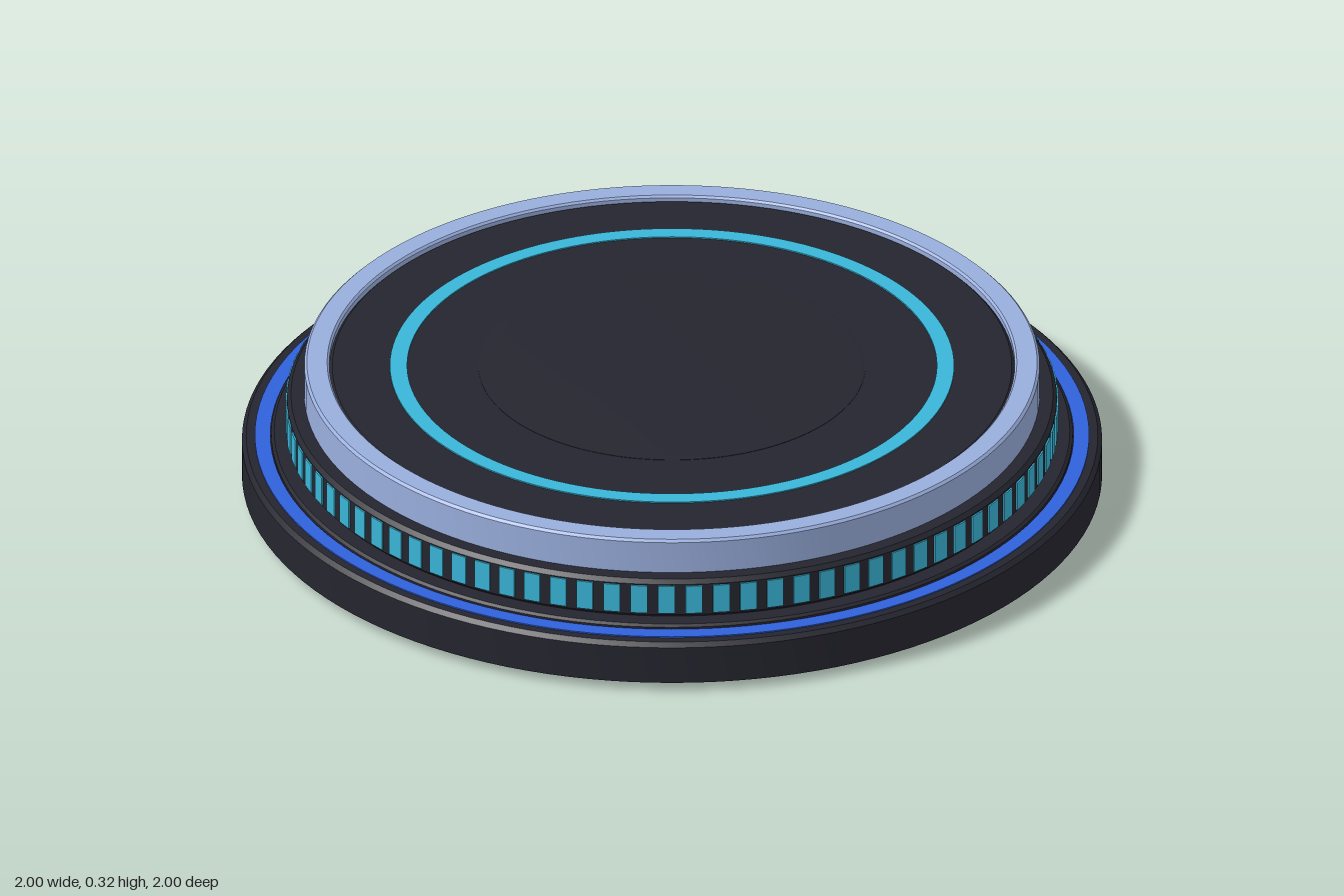
import * as THREE from 'three';
import { toCreasedNormals } from 'three/addons/utils/BufferGeometryUtils.js';

const SEGMENTS = 128;

function material(name, color) {
  const m = new THREE.MeshStandardMaterial({ color });
  m.name = name;
  return m;
}

// Turned solid from a profile of [radius, height], listed bottom to top
function turned(name, profile, mat) {
  const points = profile.map(([r, y]) => new THREE.Vector2(r, y));
  const geometry = toCreasedNormals(new THREE.LatheGeometry(points, SEGMENTS), 0.35);
  const mesh = new THREE.Mesh(geometry, mat);
  mesh.name = name;
  return mesh;
}

// Thin flat ring with a rectangular section
function flatRing(name, inner, outer, y0, y1, mat) {
  return turned(name, [[inner, y0], [outer, y0], [outer, y1], [inner, y1], [inner, y0]], mat);
}

export function createModel() {
  const dark = material('charcoal', 0x25252f);
  const pale = material('pale blue metal', 0x99aedd);
  const teal = material('teal light', 0x39b5d7);
  const blue = material('blue light', 0x2f61dc);

  const group = new THREE.Group();
  group.name = 'roundPlatform';

  // Wide foot with a chamfered underside and a low step on top
  group.add(turned('base', [
    [0, 0], [0.96, 0], [1, 0.022], [1, 0.115], [0.99, 0.125],
    [0.932, 0.125], [0.932, 0.132], [0.925, 0.137], [0, 0.137],
  ], dark));
  group.add(flatRing('baseLightRing', 0.934, 0.97, 0.12, 0.128, blue));

  // Middle drum carrying the row of lights
  group.add(turned('drum', [
    [0, 0.135], [0.885, 0.135], [0.895, 0.145], [0.895, 0.225], [0.886, 0.235], [0, 0.235],
  ], dark));

  const lights = new THREE.Group();
  lights.name = 'drumLights';
  const lightGeometry = new THREE.BoxGeometry(0.039, 0.072, 0.009);
  const count = 88;
  for (let i = 0; i < count; i++) {
    const a = ((i + 0.5) / count) * Math.PI * 2;
    const light = new THREE.Mesh(lightGeometry, teal);
    light.name = 'drumLight';
    light.position.set(Math.sin(a) * 0.894, 0.186, Math.cos(a) * 0.894);
    light.rotation.y = a;
    lights.add(light);
  }
  group.add(lights);

  // Raised metal rim
  group.add(turned('rim', [
    [0.797, 0.23], [0.855, 0.23], [0.855, 0.314], [0.849, 0.32],
    [0.802, 0.32], [0.797, 0.315], [0.797, 0.23],
  ], pale));

  // Deck set just below the rim, with its light ring and centre plate
  group.add(turned('deck', [
    [0, 0.23], [0.797, 0.23], [0.797, 0.302], [0.79, 0.309], [0, 0.309],
  ], dark));
  group.add(flatRing('deckLightRing', 0.616, 0.656, 0.306, 0.312, teal));
  group.add(turned('centrePlate', [[0, 0.306], [0.45, 0.306], [0.45, 0.31], [0.43, 0.312], [0, 0.312]], dark));

  return group;
}
